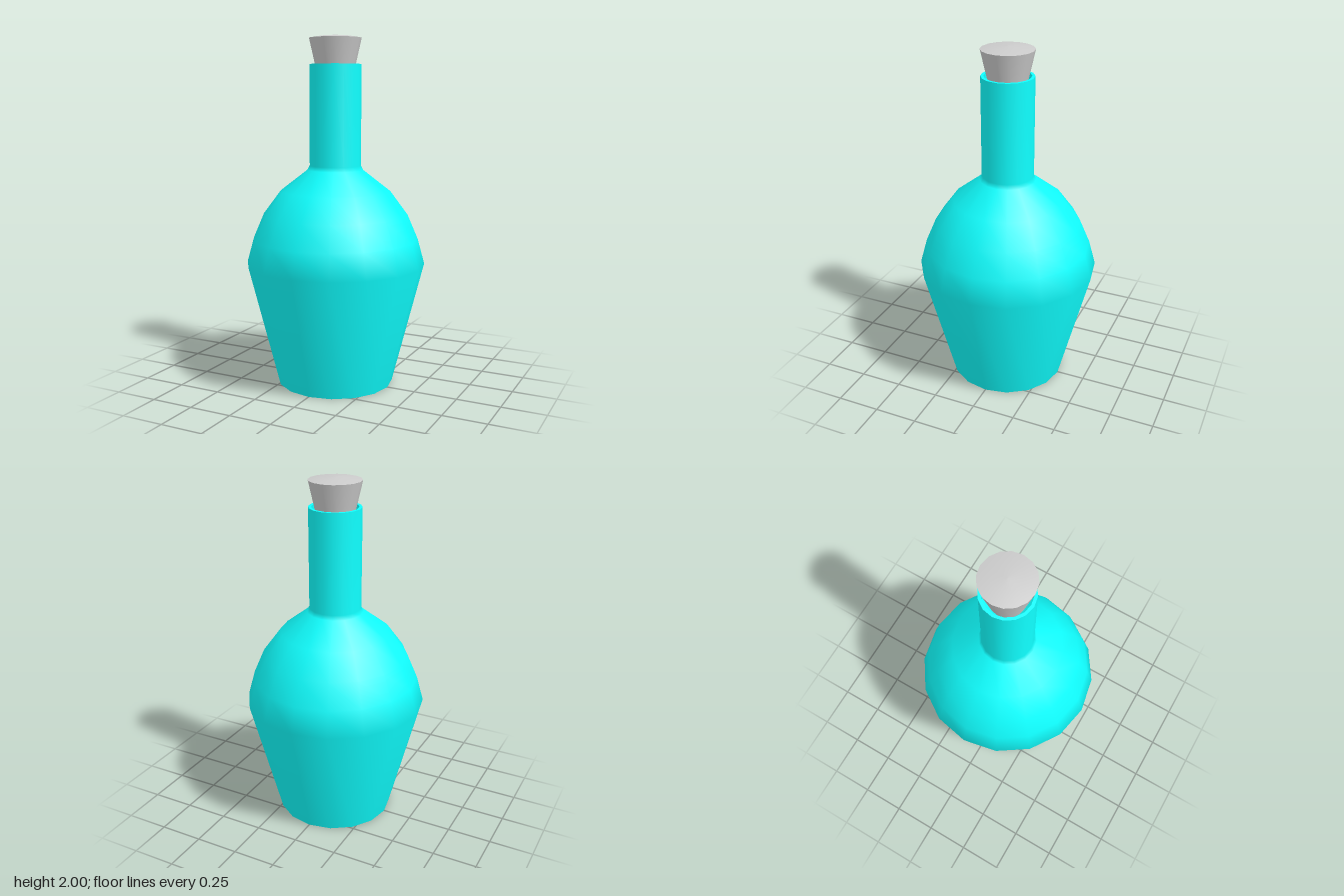
import * as THREE from 'three';

const SIDES = 16;

// Lathe a profile of [radius, height] pairs, listed bottom to top on the outside.
function turned(name, profile, material) {
  const points = profile.map(([r, y]) => new THREE.Vector2(r, y));
  const mesh = new THREE.Mesh(new THREE.LatheGeometry(points, SIDES), material);
  mesh.name = name;
  return mesh;
}

export function createModel() {
  const model = new THREE.Group();
  model.name = 'corkedBottle';

  const glass = new THREE.MeshStandardMaterial({ color: 0x10ffff });
  const grey = new THREE.MeshStandardMaterial({ color: 0xcccccc });

  // Bottle: separate pieces keep the base and rim edges sharp
  const bottle = new THREE.Group();
  bottle.name = 'bottle';
  bottle.add(
    turned('base', [[0, 0], [0.335, 0]], glass),
    turned('bodyAndNeck', [
      [0.335, 0], [0.515, 0.705], [0.475, 0.85], [0.415, 0.99], [0.315, 1.125],
      [0.16, 1.245], [0.147, 1.27], [0.147, 1.84],
    ], glass),
    turned('rim', [[0.147, 1.84], [0.13, 1.84]], glass),
    turned('neckInside', [[0.13, 1.84], [0.13, 1.7], [0, 1.7]], glass),
  );

  // Cork: tapered plug with a slightly domed top
  const cork = new THREE.Group();
  cork.name = 'cork';
  cork.add(
    turned('corkBottom', [[0, 1.75], [0.095, 1.75]], grey),
    turned('corkSide', [[0.095, 1.75], [0.148, 1.985]], grey),
    turned('corkTop', [[0.148, 1.985], [0.08, 1.996], [0, 2]], grey),
  );

  model.add(bottle, cork);
  return model;
}
